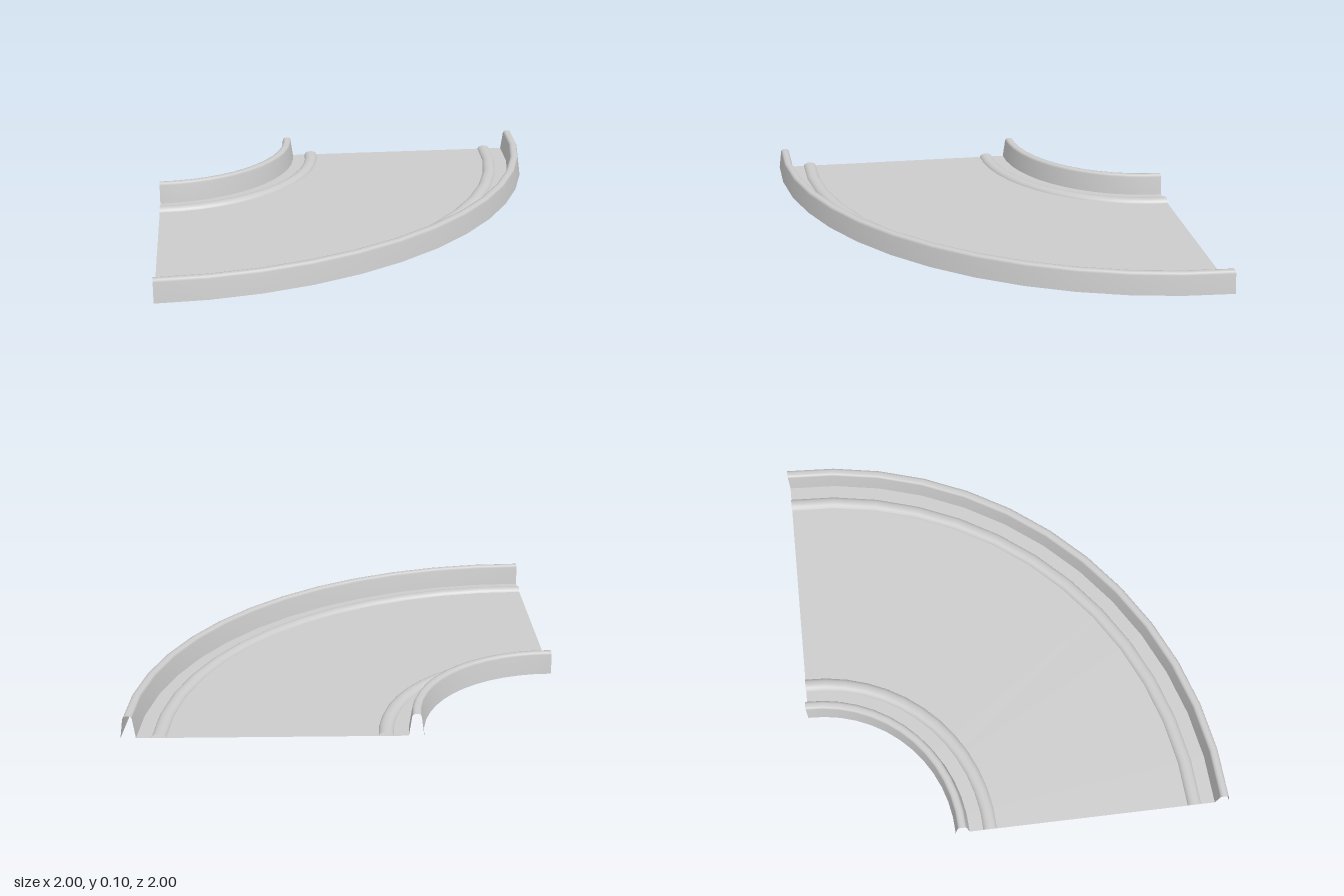
import * as THREE from 'three';

const SEGMENTS = 13;
const material = new THREE.MeshStandardMaterial({ color: 0xcccccc, side: THREE.DoubleSide });

// Sweep a [radius, height] profile (outer to inner) through the quarter bend
function sweep(name, profile) {
  const points = profile.map(([r, y]) => new THREE.Vector2(r, y));
  const geometry = new THREE.LatheGeometry(points, SEGMENTS, 0, Math.PI / 2);
  geometry.translate(-1, 0, -1);
  const mesh = new THREE.Mesh(geometry, material);
  mesh.name = name;
  return mesh;
}

// Hollow guard rail, open underneath, tapering to a softly rounded top
const railProfile = (r) => [
  [0.034, 0], [0.021, 0.093], [0.016, 0.103], [0.006, 0.105],
  [-0.006, 0.105], [-0.016, 0.103], [-0.021, 0.093], [-0.034, 0],
].map(([d, y]) => [r + d, y]);

// Low rounded kerb resting on the deck
const kerbProfile = (r) => {
  const profile = [];
  for (let i = 0; i <= 6; i++) {
    const a = (i / 6) * Math.PI;
    profile.push([r + 0.033 * Math.cos(a), 0.02 * Math.sin(a)]);
  }
  return profile;
};

export function createModel() {
  const group = new THREE.Group();
  group.name = 'curvedTrack';
  group.add(
    sweep('deck', [[1.932, 0], [0.732, 0]]),
    sweep('outerRail', railProfile(1.966)),
    sweep('innerRail', railProfile(0.698)),
    sweep('outerKerb', kerbProfile(1.832)),
    sweep('innerKerb', kerbProfile(0.832)),
  );
  return group;
}
